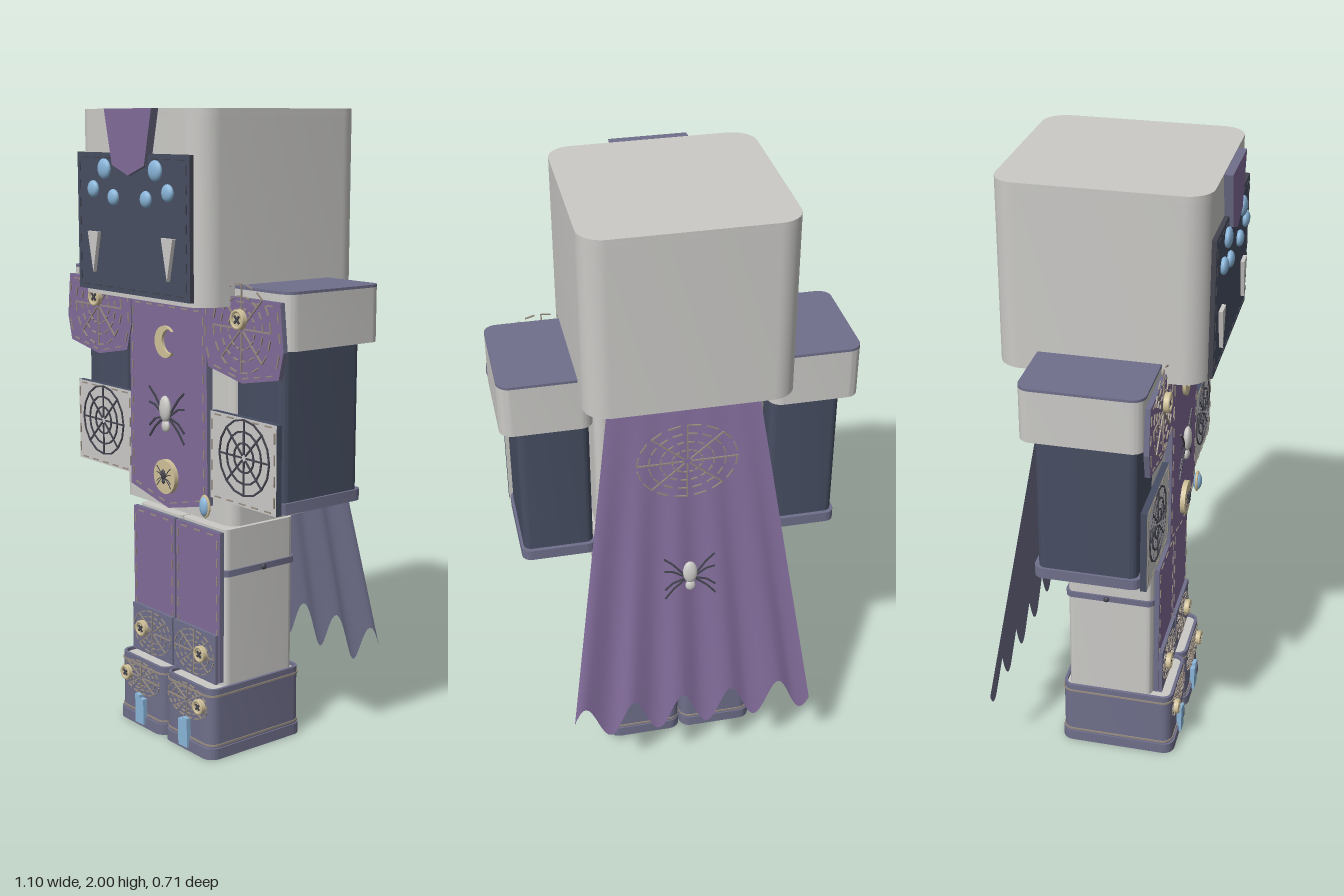
import * as THREE from 'three';
import { mergeGeometries, toCreasedNormals } from 'three/addons/utils/BufferGeometryUtils.js';

const mat = (name, color) => Object.assign(new THREE.MeshStandardMaterial({ color }), { name });

export function createModel() {
  const model = new THREE.Group();
  model.name = 'armouredFigure';
  const grey = mat('pale grey', 0xcbcac7);
  const purple = mat('purple', 0x816b99);
  const navy = mat('dark navy', 0x474e62);
  const slate = mat('slate violet', 0x6f6f8b);
  const brass = mat('brass', 0xd0c199);
  const blue = mat('gem blue', 0x8ab6da);
  const dark = mat('dark thread', 0x44444f);
  const tan = mat('tan thread', 0x978c80);

  const add = (name, geo, m, parent = model) => {
    const mesh = new THREE.Mesh(geo, m);
    mesh.name = name;
    parent.add(mesh);
    return mesh;
  };

  // Rounded rectangle in plan, as a shape or as a hole
  const roundRect = (P, x0, x1, z0, z1, r) => {
    const p = new P();
    p.moveTo(x0 + r, z0);
    p.lineTo(x1 - r, z0); p.absarc(x1 - r, z0 + r, r, -Math.PI / 2, 0);
    p.lineTo(x1, z1 - r); p.absarc(x1 - r, z1 - r, r, 0, Math.PI / 2);
    p.lineTo(x0 + r, z1); p.absarc(x0 + r, z1 - r, r, Math.PI / 2, Math.PI);
    p.lineTo(x0, z0 + r); p.absarc(x0 + r, z0 + r, r, Math.PI, Math.PI * 1.5);
    return p;
  };

  // Upright block with rounded vertical edges, hollow when a wall is given
  const block = (name, m, [x0, x1], [y0, y1], [z0, z1], r, wall = 0) => {
    const s = roundRect(THREE.Shape, x0, x1, -z1, -z0, r);
    if (wall) s.holes.push(roundRect(THREE.Path, x0 + wall, x1 - wall, -z1 + wall, -z0 - wall, r * 0.7));
    const g = new THREE.ExtrudeGeometry(s, { depth: y1 - y0, bevelEnabled: false, curveSegments: 6 });
    g.rotateX(-Math.PI / 2).translate(0, y0, 0);
    return add(name, toCreasedNormals(g, 0.6), m);
  };

  // Front-facing plate cut from an outline
  const plate = (name, pts, z, depth, m, edge = m) => {
    const s = new THREE.Shape(pts.map(([x, y]) => new THREE.Vector2(x, y)));
    const g = new THREE.ExtrudeGeometry(s, { depth, bevelEnabled: false });
    return add(name, g.translate(0, 0, z), [m, edge]);
  };
  const rect = (x0, x1, y0, y1) => [[x0, y0], [x1, y0], [x1, y1], [x0, y1]];

  // Thin raised strokes between pairs of points
  const strokes = (name, segs, z, w, m, parent = model) => add(name, mergeGeometries(segs.map(([a, b]) => {
    const dx = b[0] - a[0], dy = b[1] - a[1];
    return new THREE.BoxGeometry(Math.hypot(dx, dy), w, 0.004)
      .rotateZ(Math.atan2(dy, dx)).translate((a[0] + b[0]) / 2, (a[1] + b[1]) / 2, z);
  })), m, parent);

  // Running stitches along a closed outline, inset towards its middle
  const stitches = (name, pts, z, m, inset = 0.015) => {
    const cx = pts.reduce((t, p) => t + p[0], 0) / pts.length;
    const cy = pts.reduce((t, p) => t + p[1], 0) / pts.length;
    const q = pts.map(([x, y]) => [x - Math.sign(x - cx) * inset, y - Math.sign(y - cy) * inset]);
    const segs = [];
    q.forEach((a, i) => {
      const b = q[(i + 1) % q.length];
      const n = Math.max(1, Math.round(Math.hypot(b[0] - a[0], b[1] - a[1]) / 0.06));
      const at = t => [a[0] + (b[0] - a[0]) * t, a[1] + (b[1] - a[1]) * t];
      for (let k = 0; k < n; k++) segs.push([at((k + 0.25) / n), at((k + 0.75) / n)]);
    });
    strokes(name, segs, z, 0.004, m);
  };

  // Web of rings and spokes
  const web = (name, x, y, z, radii, m, { sx = 1, sy = 1, gap = 0, w = 0.004 } = {}) => {
    const segs = [], n = 16;
    const at = (r, a) => [x + r * sx * Math.cos(a), y + r * sy * Math.sin(a)];
    for (let i = 0; i < n; i++) {
      const a = i / n * 2 * Math.PI, b = (i + 1 - gap) / n * 2 * Math.PI;
      radii.forEach(r => segs.push([at(r, a), at(r, b)]));
      if (i % 2 === 0) segs.push([at(0.01, a), at(radii[0], a)]);
    }
    strokes(name, segs, z, w, m);
  };

  const ball = (name, x, y, z, rx, ry, rz, m, parent = model) =>
    add(name, new THREE.SphereGeometry(1, 16, 10).scale(rx, ry, rz).translate(x, y, z), m, parent);
  const disc = (name, x, y, z, r, d, m) =>
    add(name, new THREE.CylinderGeometry(r, r, d, 24).rotateX(Math.PI / 2).translate(x, y, z), m);

  const spider = (name, k, body, legs) => {
    const g = new THREE.Group();
    g.name = name;
    ball('abdomen', 0, 0.02, 0.01, 0.026, 0.042, 0.014, body, g);
    ball('spiderHead', 0, -0.035, 0.008, 0.018, 0.02, 0.01, body, g);
    const segs = [];
    for (const s of [1, -1]) for (const [ky, ty] of [[0.055, 0.08], [0.025, 0.03], [-0.02, -0.045], [-0.045, -0.08]]) {
      segs.push([[s * 0.01, -0.005], [s * 0.06, ky]], [[s * 0.06, ky], [s * 0.09, ty]]);
    }
    strokes('spiderLegs', segs, 0.005, 0.006, legs, g);
    g.scale.setScalar(k);
    model.add(g);
    return g;
  };

  const button = (x, y, z, r = 0.03) => {
    disc('button', x, y, z, r, 0.012, brass);
    add('buttonRim', new THREE.TorusGeometry(r * 0.85, 0.005, 6, 24).translate(x, y, z + 0.007), brass);
    const c = r * 0.35;
    strokes('buttonCross', [[[x - c, y - c], [x + c, y + c]], [[x - c, y + c], [x + c, y - c]]], z + 0.008, 0.006, dark);
  };

  // Head open underneath, face plate and crest
  block('headWalls', grey, [-0.315, 0.315], [1.435, 1.98], [-0.31, 0.315], 0.075, 0.02);
  block('headTop', grey, [-0.315, 0.315], [1.98, 2], [-0.31, 0.315], 0.075);
  const face = rect(-0.285, 0.285, 1.45, 1.87);
  plate('facePlate', face, 0.316, 0.014, navy, dark);
  stitches('faceStitches', face, 0.331, dark);
  plate('crest', [[-0.12, 2], [-0.082, 1.835], [0, 1.805], [0.082, 1.835], [0.12, 2]], 0.316, 0.026, purple, slate);

  // Torso, waist and tabard
  block('torso', grey, [-0.265, 0.265], [0.8, 1.45], [-0.14, 0.15], 0.03);
  block('waist', grey, [-0.28, 0.28], [0.755, 0.9], [-0.155, 0.17], 0.04);
  const tabard = [[-0.195, 1.42], [-0.2, 0.81], [0, 0.765], [0.2, 0.81], [0.195, 1.42]];
  plate('tabard', tabard, 0.178, 0.022, purple, slate);
  stitches('tabardStitches', tabard, 0.201, tan);
  const moon = new THREE.Shape();
  moon.absarc(0, 0, 0.05, 0.75, 5.4, false);
  moon.absarc(0.024, 0.004, 0.037, 5.1, 1.1, true);
  add('crescent', new THREE.ExtrudeGeometry(moon, { depth: 0.01, bevelEnabled: false }).translate(-0.003, 1.295, 0.2), brass);
  spider('chestSpider', 1, grey, dark).position.set(0, 1.065, 0.2);
  disc('medallion', 0, 0.868, 0.208, 0.055, 0.016, brass);
  spider('medallionSpider', 0.4, dark, dark).position.set(0, 0.868, 0.216);
  ball('waistGem', 0.2, 0.812, 0.21, 0.02, 0.032, 0.016, blue);
  add('gemRing', new THREE.TorusGeometry(0.02, 0.005, 6, 16).scale(1, 1.5, 1).translate(0.2, 0.812, 0.21), brass);

  for (const s of [1, -1]) {
    const X = (a, b) => s > 0 ? [a, b] : [-b, -a];
    const M = pts => pts.map(([x, y]) => [s * x, y]);

    // Eyes and fangs
    for (const [x, y, r] of [[0.13, 1.822, 0.031], [0.19, 1.76, 0.026], [0.083, 1.738, 0.025]])
      ball('eye', s * x, y, 0.337, r, r, 0.013, blue);
    plate('fang', M([[0.162, 1.63], [0.19, 1.505], [0.218, 1.63]]), 0.33, 0.012, grey);

    // Shoulder cap with its hanging plate
    block('shoulderCap', grey, X(0.27, 0.55), [1.325, 1.487], [-0.18, 0.188], 0.04);
    block('shoulderTop', slate, X(0.27, 0.55), [1.487, 1.495], [-0.18, 0.188], 0.04);
    const pad = M([[0.19, 1.465], [0.185, 1.33], [0.21, 1.245], [0.37, 1.215], [0.53, 1.245], [0.55, 1.325], [0.535, 1.465]]);
    plate('shoulderPlate', pad, 0.188, 0.016, purple, slate);
    stitches('shoulderStitches', pad, 0.205, tan, 0.012);
    web('shoulderWeb', s * 0.367, 1.375, 0.206, [0.13, 0.095, 0.06], tan, { gap: 0.4 });
    button(s * 0.367, 1.403, 0.216);

    // Arm, cuff and gauntlet plate
    block('arm', navy, X(0.28, 0.5), [0.85, 1.33], [-0.145, 0.16], 0.025);
    block('cuff', slate, X(0.272, 0.508), [0.838, 0.872], [-0.158, 0.172], 0.03, 0.02);
    const guard = rect(...X(0.205, 0.51), 0.84, 1.11);
    plate('gauntletPlate', guard, 0.172, 0.02, grey, navy);
    stitches('gauntletStitches', guard, 0.193, tan, 0.008);
    web('gauntletWeb', s * 0.365, 0.99, 0.194, [0.115, 0.08, 0.045], dark, { w: 0.005 });

    // Leg, strap and thigh plate
    block('leg', grey, X(0.002, 0.225), [0.15, 0.73], [-0.13, 0.15], 0.02);
    block('legStrap', slate, X(0.001, 0.231), [0.58, 0.6], [-0.138, 0.157], 0.025);
    ball('strapStud', s * 0.232, 0.59, 0, 0.008, 0.01, 0.01, dark);
    const thigh = rect(...X(0.004, 0.226), 0.24, 0.725);
    plate('thighPlate', thigh, 0.157, 0.016, purple, slate);
    stitches('thighStitches', thigh, 0.174, tan, 0.012);
    plate('kneePlate', rect(...X(0.004, 0.22), 0.235, 0.395), 0.173, 0.012, slate);
    web('kneeWeb', s * 0.112, 0.315, 0.186, [0.1, 0.075, 0.05], tan, { sy: 0.72, gap: 0.35 });
    button(s * 0.157, 0.322, 0.194, 0.026);

    // Hollow boot with lining, welt, seams and front tag
    block('boot', slate, X(0.002, 0.245), [0.01, 0.23], [-0.15, 0.222], 0.035, 0.01);
    block('bootLining', grey, X(0.012, 0.235), [0.012, 0.215], [-0.14, 0.212], 0.025, 0.006);
    block('bootInsole', grey, X(0.012, 0.235), [0.14, 0.22], [-0.14, 0.212], 0.025);
    block('sole', slate, X(0.001, 0.25), [0, 0.036], [-0.155, 0.23], 0.038, 0.016);
    for (const y of [0.042, 0.205]) block('bootSeam', tan, X(0.001, 0.248), [y, y + 0.006], [-0.153, 0.225], 0.037, 0.01);
    web('bootWeb', s * 0.125, 0.165, 0.224, [0.1, 0.075, 0.05], tan, { sy: 0.55, gap: 0.35 });
    button(s * 0.195, 0.167, 0.23, 0.024);
    plate('bootTag', M([[0.095, 0.012], [0.14, 0.012], [0.14, 0.11], [0.115, 0.11], [0.115, 0.1], [0.095, 0.1]]), 0.222, 0.016, blue);
  }

  // Cape: flared sheet with shallow folds and a pointed hem; outer cloth and inner lining
  const capeSheet = (name, m, inner) => {
    const g = new THREE.PlaneGeometry(1, 1, 80, 16);
    const p = g.attributes.position;
    for (let i = 0; i < p.count; i++) {
      const u = inner ? p.getX(i) : -p.getX(i), t = 0.5 - p.getY(i);
      const hem = 0.28 - 0.065 * Math.cos(2 * Math.PI * (u * 0.8 + 0.37) / 0.163);
      const z = -0.178 - 0.174 * t + 0.004 * t * Math.cos(u * 2 * Math.PI * 5);
      p.setXYZ(i, u * 2 * (0.23 + 0.167 * t), 1.4 + (hem - 1.4) * t, z + (inner ? 0.002 : 0));
    }
    g.computeVertexNormals();
    add(name, g, m);
  };
  capeSheet('cape', purple, false);
  capeSheet('capeLining', slate, true);
  web('capeWeb', 0, 1.2, -0.235, [0.13, 0.1, 0.07, 0.04], tan, { sx: 1.2, gap: 0.35 });
  const backSpider = spider('capeSpider', 0.9, grey, dark);
  backSpider.position.set(0, 0.79, -0.278);
  backSpider.rotation.set(0.14, Math.PI, 0);

  return model;
}
